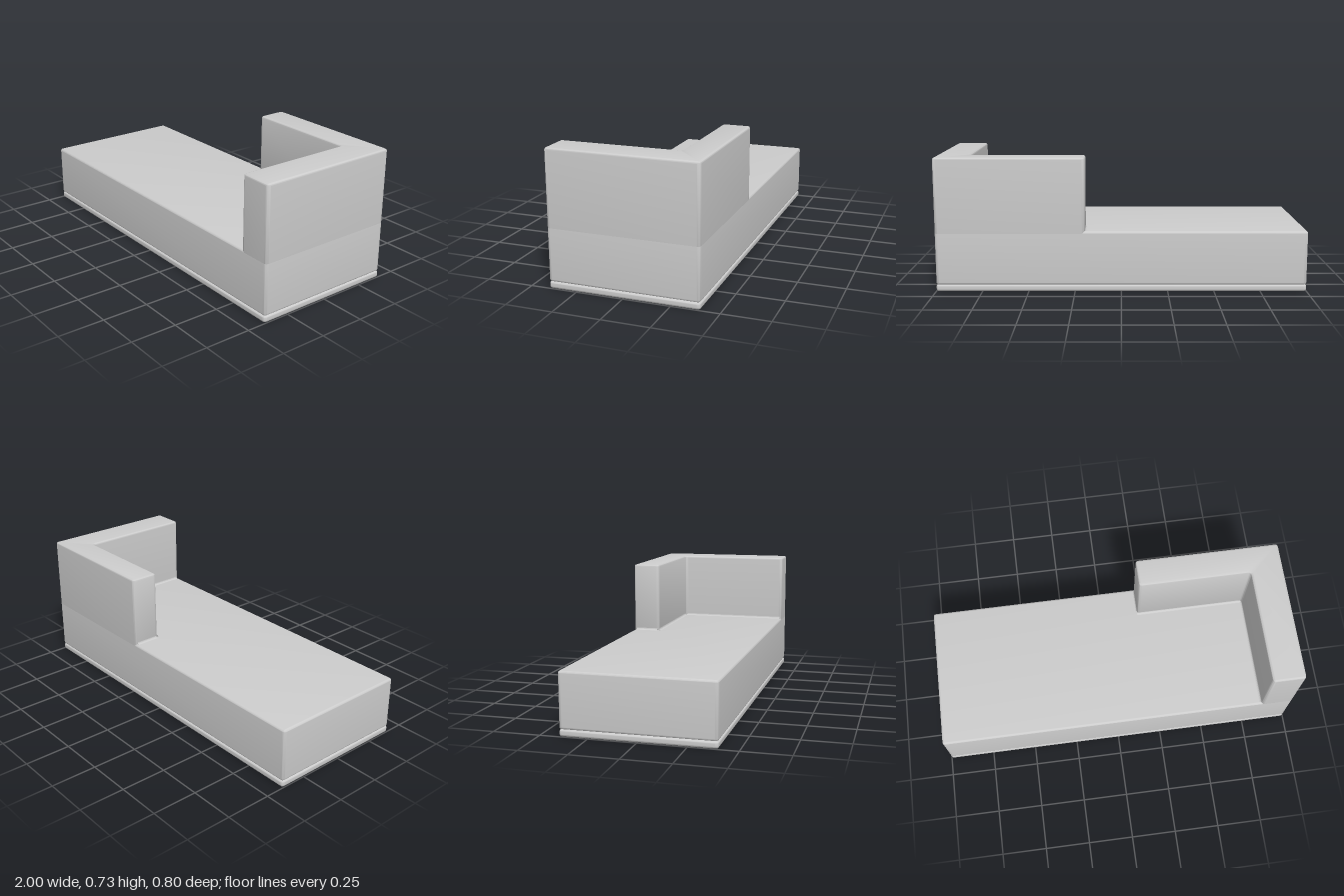
import * as THREE from 'three';
import { toCreasedNormals } from 'three/addons/utils/BufferGeometryUtils.js';

const R = 0.012; // edge rounding
const material = new THREE.MeshStandardMaterial({ color: 0xcccccc });

// Plan outline (x, z) with softened corners, convex or concave
function softOutline(points, d = 0.018) {
  const pts = points.map(([x, z]) => new THREE.Vector2(x, -z));
  const shape = new THREE.Shape();
  pts.forEach((p, i) => {
    const toward = (q) => p.clone().add(q.clone().sub(p).setLength(d));
    const a = toward(pts[(i + pts.length - 1) % pts.length]);
    const b = toward(pts[(i + 1) % pts.length]);
    if (i === 0) shape.moveTo(a.x, a.y);
    else shape.lineTo(a.x, a.y);
    shape.quadraticCurveTo(p.x, p.y, b.x, b.y);
  });
  shape.closePath();
  return shape;
}

// Upholstered block: outline raised from y0 to y1 with rounded edges
function block(name, points, y0, y1) {
  const geometry = new THREE.ExtrudeGeometry(softOutline(points), {
    depth: y1 - y0 - 2 * R, curveSegments: 8,
    bevelThickness: R, bevelSize: R, bevelOffset: -R, bevelSegments: 7,
  });
  geometry.rotateX(-Math.PI / 2).translate(0, y0 + R, 0);
  const mesh = new THREE.Mesh(toCreasedNormals(geometry, 0.5), material);
  mesh.name = name;
  return mesh;
}

// Small concave fillet where a wall meets the seat
function cove(name, length, x, y, z, turn) {
  const shape = new THREE.Shape();
  shape.moveTo(0, 0);
  shape.lineTo(R, 0);
  shape.quadraticCurveTo(0, 0, 0, R);
  const geometry = new THREE.ExtrudeGeometry(shape, { depth: length, bevelEnabled: false, curveSegments: 6 });
  const mesh = new THREE.Mesh(toCreasedNormals(geometry, 0.5), material);
  mesh.name = name;
  mesh.position.set(x, y, z);
  mesh.rotation.y = turn;
  return mesh;
}

export function createModel() {
  const sofa = new THREE.Group();
  sofa.name = 'chaiseSofa';

  const seatY = 0.33, topY = 0.725;
  const backX = 0.195, backZ = -0.245, armX = 0.82;
  const footprint = [[-1, 0.4], [1, 0.4], [1, -0.4], [-1, -0.4]];

  // Thin plinth and the long seat
  sofa.add(block('plinth', footprint, 0, 0.037));
  sofa.add(block('seat', footprint, 0.037, seatY));

  // L-shaped backrest and arm, flush with the outer faces of the seat
  sofa.add(block('backrestAndArm', [
    [armX, 0.4], [1, 0.4], [1, -0.4], [backX, -0.4], [backX, backZ], [armX, backZ],
  ], seatY - 2 * R, topY));

  // Fillets along the foot of the backrest and arm
  sofa.add(cove('backrestFillet', armX - backX, armX, seatY, backZ, -Math.PI / 2));
  sofa.add(cove('backrestEndFillet', 0.13, backX, seatY, backZ - R, Math.PI));
  sofa.add(cove('armFillet', 0.4 - R - backZ, armX, seatY, 0.4 - R, Math.PI));

  return sofa;
}
